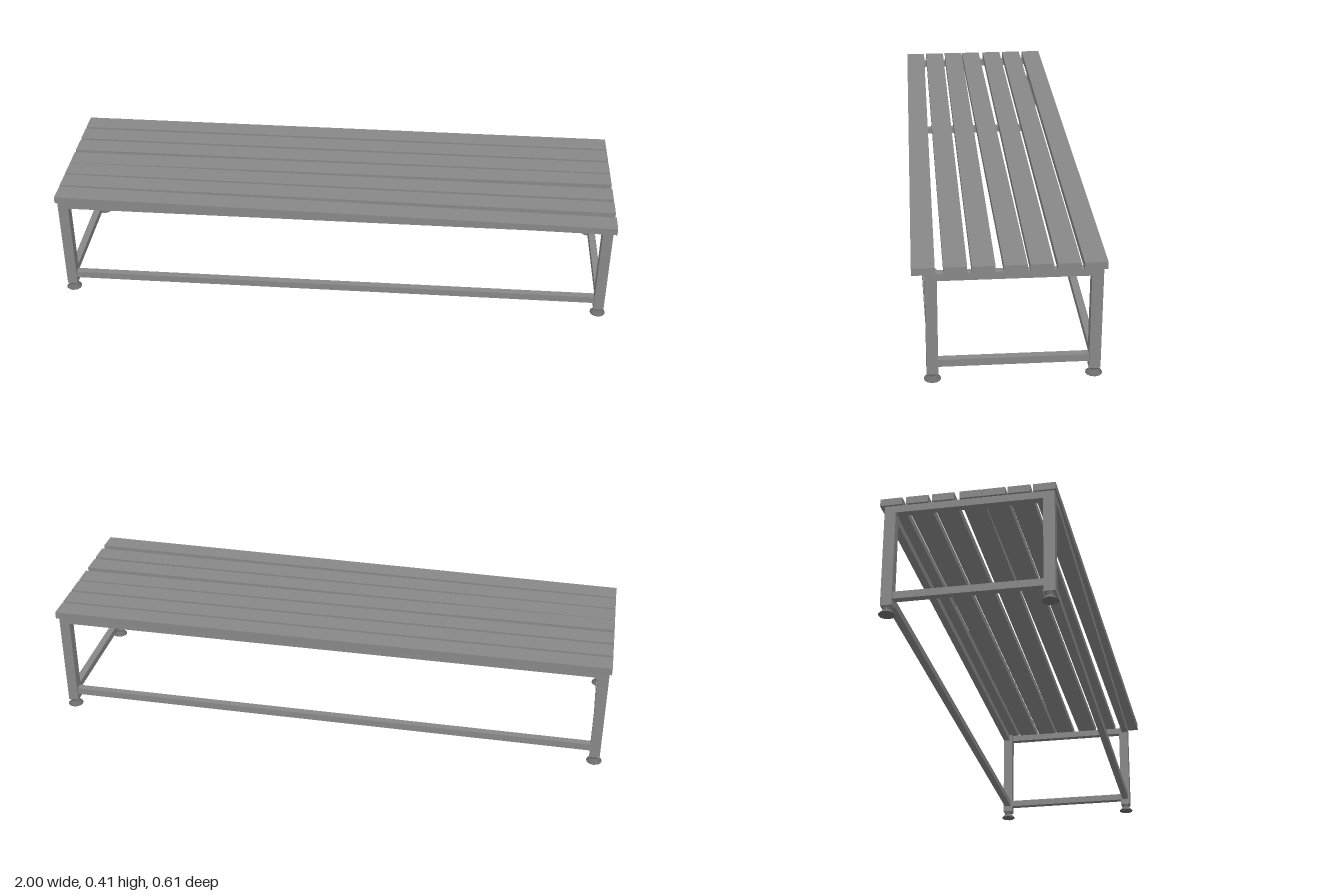
import * as THREE from 'three';

export function createModel() {
  const group = new THREE.Group();
  const frameGrey = new THREE.MeshStandardMaterial({ color: 0x888888, flatShading: true });
  const footGrey = new THREE.MeshStandardMaterial({ color: 0x6c6c6c, flatShading: true });

  const add = (name, geometry, material, x, y, z) => {
    const mesh = new THREE.Mesh(geometry, material);
    mesh.name = name;
    mesh.position.set(x, y, z);
    group.add(mesh);
    return mesh;
  };
  const box = (name, w, h, d, x, y, z) => add(name, new THREE.BoxGeometry(w, h, d), frameGrey, x, y, z);

  const legX = 0.972, legFront = 0.244, legBack = -0.273;
  const leg = 0.037, rail = 0.025, legBottom = 0.026, seatBottom = 0.385, seatTop = 0.41;
  const midZ = (legFront + legBack) / 2;
  const spanX = 2 * legX - leg, spanZ = legFront - legBack - leg;

  // Seat slats, some laid slightly askew: [z at the right end (-x), z at the left end (+x)]
  const slats = [
    [0.231, 0.268], [0.149, 0.169], [0.068, 0.082], [-0.007, -0.017],
    [-0.098, -0.098], [-0.183, -0.183], [-0.269, -0.266],
  ];
  slats.forEach(([zRight, zLeft], i) => {
    const slat = box(`seatSlat${i + 1}`, 1.996, seatTop - seatBottom, 0.073,
      0, (seatTop + seatBottom) / 2, (zRight + zLeft) / 2);
    slat.rotation.y = -Math.atan2(zLeft - zRight, 2);
  });

  // Legs with flared levelling feet
  const footProfile = [[0, 0], [0.0275, 0], [0.0275, 0.002], [0.014, 0.016], [0.0155, legBottom]]
    .map(([r, y]) => new THREE.Vector2(r, y));
  const footGeometry = new THREE.LatheGeometry(footProfile, 12);
  for (const x of [-legX, legX]) {
    for (const z of [legFront, legBack]) {
      box('leg', leg, seatBottom - legBottom, leg, x, (seatBottom + legBottom) / 2, z);
      add('foot', footGeometry, footGrey, x, 0, z);
    }
  }

  // Rails on all four sides: the upper ones flush with the outside of the legs, the lower ones centred
  for (const [level, y, shift] of [['upper', seatBottom - rail / 2, (leg - rail) / 2], ['lower', 0.062, 0]]) {
    for (const side of [-1, 1]) {
      const z = (side > 0 ? legFront : legBack) + side * shift;
      box(`${level}LongRail`, spanX, rail, rail, 0, y, z);
      box(`${level}EndRail`, rail, rail, spanZ, side * (legX + shift), y, midZ);
    }
  }

  return group;
}
